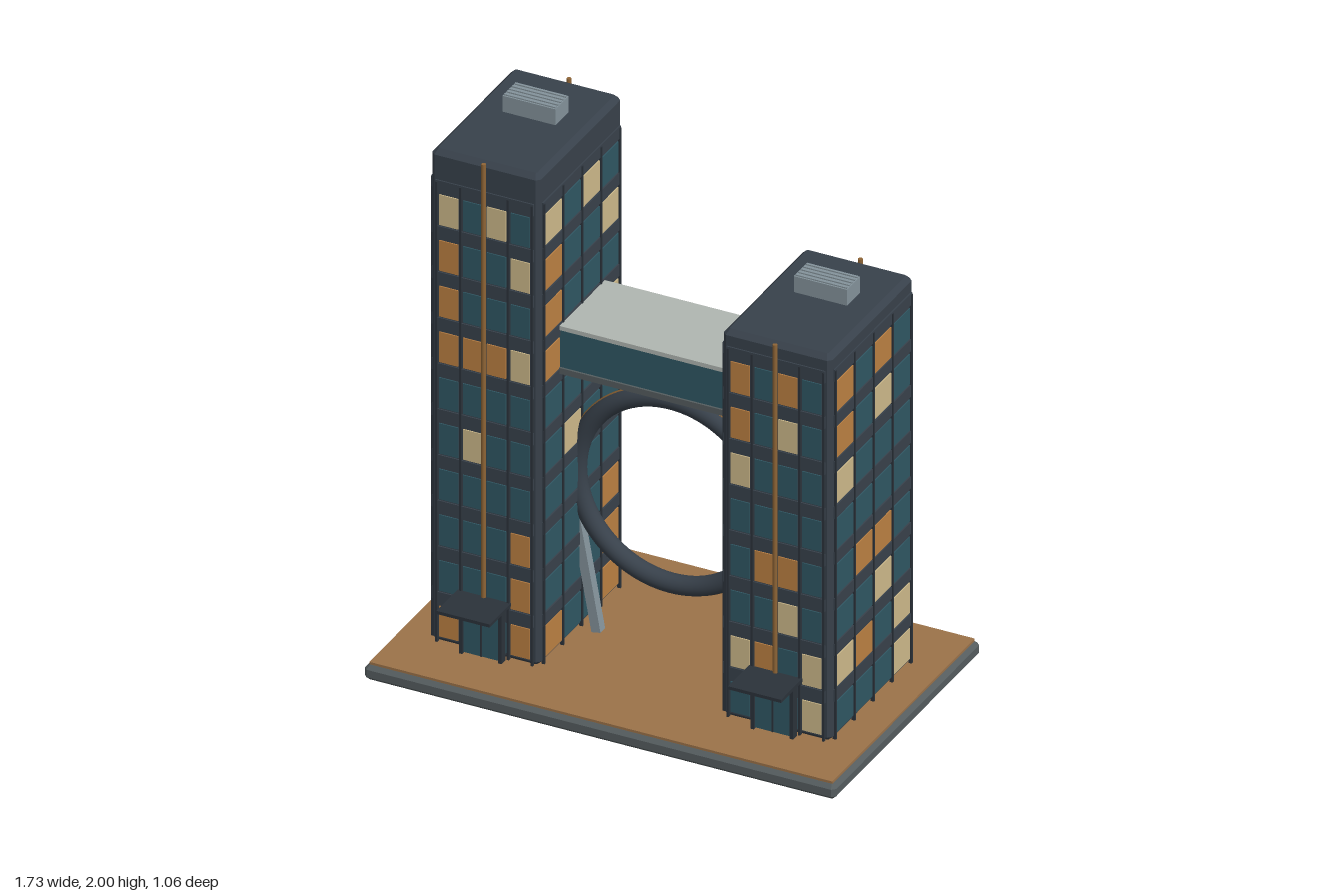
import * as THREE from 'three';
import { mergeGeometries } from 'three/addons/utils/BufferGeometryUtils.js';

const mat = (color) => new THREE.MeshStandardMaterial({ color });
const M = {
  wall: mat(0x38414b), trim: mat(0x2b323a), glass: mat(0x2f5763), cream: mat(0xcdb98a), amber: mat(0xbb8042),
  bronze: mat(0x8f6536), steel: mat(0x84939b), pale: mat(0xb0b6b1), stone: mat(0x555d5f), deck: mat(0x9b7249),
};

// Lit windows, top floor first; C = cream, A = amber, . = unlit
const TALL = ['C.C.', 'A..C', 'A...', 'AAAC', '....', '.C..', '....', '...A', '...A', 'A..A'];
const SHORT = ['A.A.', 'A.C.', 'C...', '....', '.AA.', '..C.', 'CA.C', '...C'];
const PITCH = 0.174;

function add(parent, name, geometry, material, x = 0, y = 0, z = 0) {
  const mesh = new THREE.Mesh(geometry, material);
  mesh.name = name;
  mesh.position.set(x, y, z);
  parent.add(mesh);
  return mesh;
}

const box = (w, h, d, x = 0, y = 0, z = 0) => new THREE.BoxGeometry(w, h, d).translate(x, y, z);

// Block with every edge chamfered, standing on y = 0
function chamferBlock(w, h, d, b, c = b) {
  const x = w / 2 - b, z = d / 2 - b;
  const shape = new THREE.Shape([
    [x - c, -z], [x, c - z], [x, z - c], [x - c, z], [c - x, z], [-x, z - c], [-x, c - z], [c - x, -z],
  ].map(([px, pz]) => new THREE.Vector2(px, pz)));
  return new THREE.ExtrudeGeometry(shape, {
    depth: h - 2 * b, bevelThickness: b, bevelSize: b, bevelSegments: 1,
  }).rotateX(-Math.PI / 2).translate(0, b, 0);
}

function createTower(name, x, height, pattern) {
  const tower = new THREE.Group();
  tower.name = name;
  tower.position.x = x;
  const floors = pattern.length;
  const facadeTop = 0.08 + floors * PITCH;
  add(tower, 'towerBody', chamferBlock(0.4, height - 0.065, 0.6, 0.018, 0.004), M.wall, 0, 0.065);

  // Window panes, sorted by colour, on all four sides
  const panes = { '.': [], C: [], A: [] };
  pattern.forEach((row, r) => {
    const y = 0.148 + (floors - 1 - r) * PITCH;
    [...row].forEach((key, i) => {
      for (const s of [1, -1]) {
        panes[key].push(box(0.07, 0.115, 0.008, (i - 1.5) * 0.0875, y, s * 0.3));
        panes[key].push(box(0.008, 0.115, 0.123, s * 0.2, y, (1.5 - i) * 0.137));
      }
    });
  });
  add(tower, 'unlitWindows', mergeGeometries(panes['.']), M.glass);
  add(tower, 'creamWindows', mergeGeometries(panes.C), M.cream);
  add(tower, 'amberWindows', mergeGeometries(panes.A), M.amber);

  // Vertical mullions and floor bands
  const mullions = [], bands = [];
  const h = facadeTop - 0.07;
  for (const s of [1, -1]) {
    for (let i = -2; i <= 2; i++) {
      mullions.push(box(0.008, h, 0.012, i * 0.0875, 0.07 + h / 2, s * 0.302));
      mullions.push(box(0.012, h, 0.008, s * 0.202, 0.07 + h / 2, i * 0.137));
    }
    for (let f = 1; f <= floors; f++) {
      const y = 0.063 + f * PITCH;
      bands.push(box(0.36, 0.045, 0.008, 0, y, s * 0.301));
      bands.push(box(0.008, 0.045, 0.56, s * 0.201, y, 0));
    }
  }
  add(tower, 'mullions', mergeGeometries(mullions), M.trim);
  add(tower, 'floorBands', mergeGeometries(bands), M.wall);

  // Bronze pipes up the middle of front and back
  for (const s of [1, -1]) {
    add(tower, 'bronzePipe', new THREE.CylinderGeometry(0.008, 0.008, height - 0.07, 10), M.bronze, 0, (height + 0.07) / 2, s * 0.309);
  }

  // Louvred roof unit
  add(tower, 'roofUnit', box(0.195, 0.065, 0.095), M.steel, 0, height + 0.028, -0.067);
  for (let i = 0; i < 5; i++) {
    add(tower, 'roofLouvre', box(0.19, 0.006, 0.009), M.steel, 0, height + 0.062, -0.105 + i * 0.019);
  }

  // Entrance with canopy
  const entrance = new THREE.Group();
  entrance.name = 'entrance';
  add(entrance, 'door', box(0.13, 0.19, 0.022), M.glass, 0, 0.165, 0.315);
  add(entrance, 'doorSplit', box(0.005, 0.19, 0.004), M.trim, 0, 0.165, 0.327);
  add(entrance, 'doorHead', box(0.155, 0.012, 0.03), M.bronze, 0, 0.265, 0.318);
  for (const s of [1, -1]) add(entrance, 'doorPost', box(0.012, 0.2, 0.03), M.trim, s * 0.072, 0.165, 0.318);
  add(entrance, 'canopy', box(0.195, 0.012, 0.155), M.trim, 0, 0.281, 0.38);
  tower.add(entrance);
  return tower;
}

export function createModel() {
  const model = new THREE.Group();
  model.name = 'twinTowers';

  // Ground slab
  add(model, 'plinth', chamferBlock(1.73, 0.056, 1.06, 0.014, 0.004), M.stone);
  add(model, 'deck', box(1.7, 0.02, 1.03), M.deck, 0, 0.055);

  model.add(createTower('tallTower', -0.535, 1.935, TALL));
  model.add(createTower('shortTower', 0.535, 1.535, SHORT));

  // Enclosed bridge
  add(model, 'bridgeGlass', box(0.68, 0.15, 0.315), M.glass, 0, 1.21);
  add(model, 'bridgeRoof', box(0.68, 0.016, 0.33), M.pale, 0, 1.29);
  add(model, 'bridgeFloor', box(0.68, 0.022, 0.33), M.stone, 0, 1.127);

  // Ring between the towers with a bronze outer rim
  add(model, 'ring', new THREE.TorusGeometry(0.349, 0.034, 20, 96), M.wall, 0, 0.67);
  add(model, 'ringRim', new THREE.TorusGeometry(0.379, 0.007, 8, 96), M.bronze, 0, 0.67);

  // Leaning struts that carry the ring
  for (const s of [1, -1]) {
    const strut = add(model, 'strut', box(0.034, 0.44, 0.034), M.steel, s * 0.31, 0.285);
    strut.rotation.z = -s * 0.18;
  }
  return model;
}
